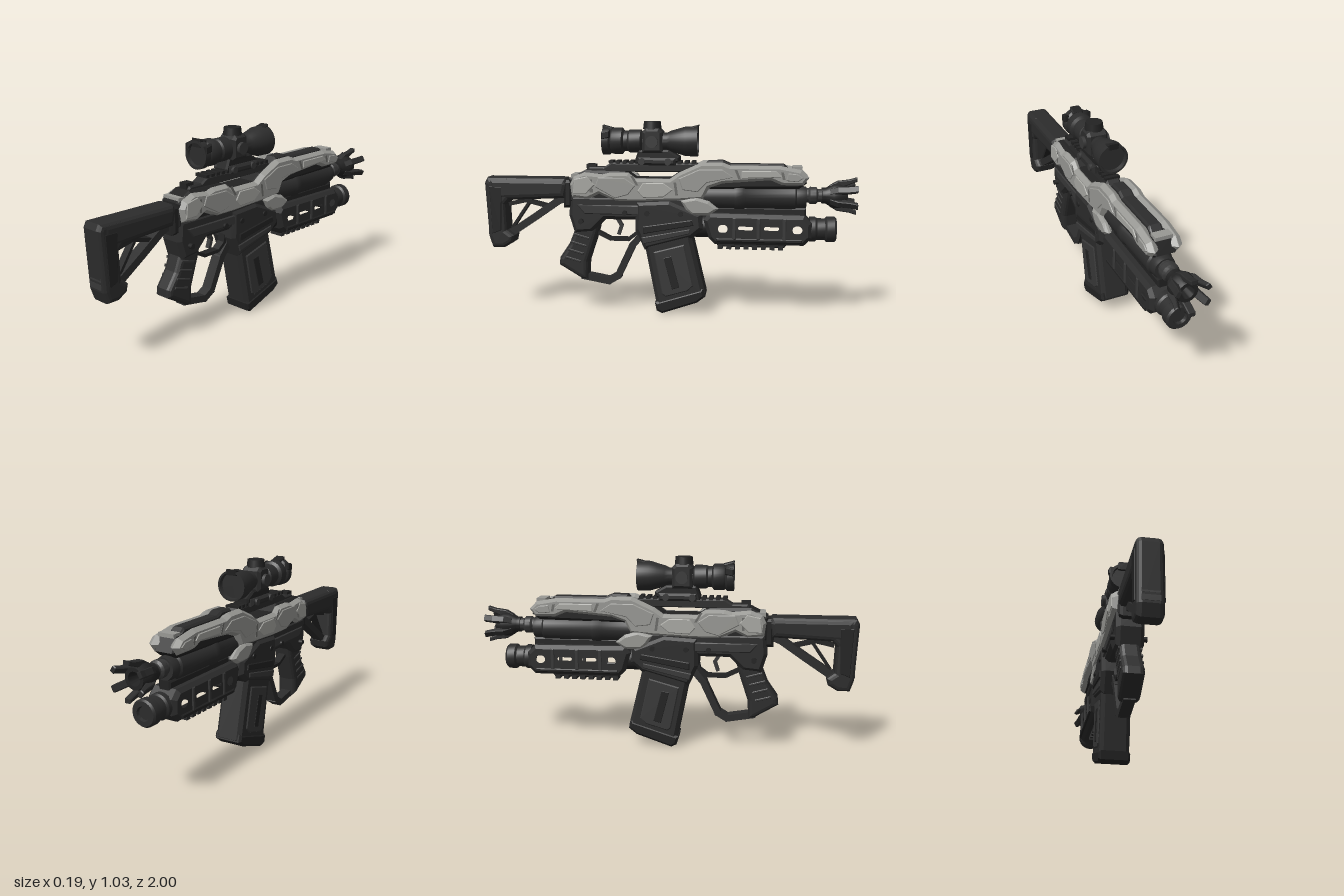
import * as THREE from 'three';
import { toCreasedNormals } from 'three/addons/utils/BufferGeometryUtils.js';

const mat = (name, color) => Object.assign(new THREE.MeshStandardMaterial({ color }), { name });

export function createModel() {
  const root = new THREE.Group();
  const dark = mat('dark polymer', 0x2c2c2c);
  const black = mat('black metal', 0x222222);
  const steel = mat('worn steel', 0x383838);
  const grey = mat('grey armour', 0x989894);
  const pale = mat('pale armour', 0xa8a8a3);
  const shade = mat('dark armour', 0x6c6c69);

  const add = (name, geo, m) => {
    const mesh = new THREE.Mesh(geo, m);
    mesh.name = name;
    root.add(mesh);
    return mesh;
  };
  // Side profile of [z, y] points, extruded across x from x0 to x1 with bevelled edges
  const trace = (path, pts) => {
    pts.forEach(([z, y], i) => (i ? path.lineTo(-z, y) : path.moveTo(-z, y)));
    path.closePath();
    return path;
  };
  const slab = (name, pts, x0, x1, m, bevel = 0.012, holes = [], thick = bevel) => {
    const shape = trace(new THREE.Shape(), pts);
    holes.forEach(h => shape.holes.push(trace(new THREE.Path(), h)));
    const geo = new THREE.ExtrudeGeometry(shape, {
      depth: x1 - x0 - 2 * thick, bevelEnabled: bevel > 0, bevelSize: bevel,
      bevelThickness: thick, bevelOffset: -bevel, bevelSegments: bevel > 0.02 ? 3 : 1,
    });
    geo.translate(0, 0, x0 + thick).rotateY(Math.PI / 2);
    return add(name, geo, m);
  };
  const wide = (name, pts, w, m, bevel, holes, thick) => slab(name, pts, -w / 2, w / 2, m, bevel, holes, thick);
  const sides = (name, pts, x0, x1, m, bevel, holes, thick) => {
    slab(name + 'Left', pts, x0, x1, m, bevel, holes, thick);
    slab(name + 'Right', pts, -x1, -x0, m, bevel, holes, thick);
  };
  const rect = (z0, z1, y0, y1) => [[z0, y0], [z1, y0], [z1, y1], [z0, y1]];
  // Round part along z from [radius, z] points with z rising
  const turned = (name, y, pts, m, seg = 28) => {
    const lathe = new THREE.LatheGeometry(pts.map(p => new THREE.Vector2(p[0], p[1])), seg);
    return add(name, toCreasedNormals(lathe.rotateX(Math.PI / 2).translate(0, y, 0), 0.6), m);
  };
  const box = (name, w, h, d, x, y, z, m) => add(name, new THREE.BoxGeometry(w, h, d).translate(x, y, z), m);
  // Straight strut between two [z, y] points
  const bar = (name, a, b, w, t, m) => {
    const dz = b[0] - a[0], dy = b[1] - a[1];
    const mesh = add(name, new THREE.BoxGeometry(w, t, Math.hypot(dz, dy) + t * 0.6), m);
    mesh.position.set(0, (a[1] + b[1]) / 2, (a[0] + b[0]) / 2);
    mesh.rotation.x = -Math.atan2(dy, dz);
  };
  const chain = (name, pts, w, t, m) => pts.slice(1).forEach((p, i) => bar(name, pts[i], p, w, t, m));
  const oval = (z, y, halfLen, r) => Array.from({ length: 16 }, (_, i) => {
    const a = (i / 16) * Math.PI * 2 + Math.PI / 16;
    return [z + Math.cos(a) * r + Math.sign(Math.cos(a)) * halfLen, y + Math.sin(a) * r];
  });

  // Stock: cheek piece, butt, pad ridges and open bracing
  wide('cheekPiece', [[0.98, 0.73], [0.55, 0.73], [0.53, 0.7], [0.55, 0.62], [0.98, 0.6]], 0.135, dark, 0.03);
  wide('butt', [[1, 0.7], [0.985, 0.73], [0.87, 0.73], [0.83, 0.68], [0.85, 0.62], [0.885, 0.58], [0.88, 0.44],
    [0.84, 0.41], [0.85, 0.37], [0.9, 0.34], [0.965, 0.34], [0.985, 0.4]], 0.13, dark, 0.025);
  for (let i = 0; i < 4; i++) box('padRidge', 0.085, 0.028, 0.02, 0, 0.545 - i * 0.04, 0.978, steel);
  sides('buttPanel', [[0.97, 0.68], [0.9, 0.68], [0.91, 0.44], [0.96, 0.42]], 0.062, 0.069, black, 0.003);
  chain('stockBrace', [[0.88, 0.41], [0.73, 0.51], [0.6, 0.6], [0.55, 0.62]], 0.06, 0.04, dark);
  chain('stockBrace', [[0.87, 0.58], [0.78, 0.6], [0.66, 0.57]], 0.045, 0.02, black);
  bar('stockBrace', [0.86, 0.45], [0.75, 0.61], 0.04, 0.015, black);
  turned('bufferTube', 0.665, [[0, 0.48], [0.055, 0.48], [0.055, 0.6], [0, 0.6]], black);
  wide('stockCollar', rect(0.56, 0.51, 0.57, 0.72), 0.12, black, 0.015);

  // Receiver core with a lowered centre beneath the raised rail
  wide('receiverCore', [[0.53, 0.6], [0.53, 0.73], [0.44, 0.775], [0.22, 0.77], [0.17, 0.735], [-0.02, 0.735],
    [-0.07, 0.77], [-0.2, 0.79], [-0.7, 0.79], [-0.74, 0.72], [-0.7, 0.69], [-0.22, 0.68], [-0.2, 0.57], [0.1, 0.57]], 0.125, black, 0.015);
  wide('lowerReceiver', [[0.52, 0.64], [-0.12, 0.64], [-0.2, 0.55], [-0.12, 0.45], [0.08, 0.42], [0.15, 0.51],
    [0.33, 0.51], [0.4, 0.44], [0.5, 0.43], [0.53, 0.53]], 0.14, dark, 0.02);
  sides('receiverPanel', [[0.48, 0.59], [0.14, 0.59], [0.1, 0.54], [0.44, 0.54]], 0.068, 0.08, steel, 0.006);
  wide('magazineWell', [[0.16, 0.61], [-0.02, 0.62], [-0.19, 0.55], [-0.2, 0.47], [-0.14, 0.42], [0.115, 0.35], [0.165, 0.46]], 0.172, dark, 0.02);
  sides('wellRib', [[0.12, 0.48], [-0.14, 0.52], [-0.15, 0.49], [0.12, 0.44]], 0.082, 0.092, black, 0.004);
  sides('wellRib', [[0.13, 0.42], [-0.13, 0.47], [-0.13, 0.445], [0.12, 0.385]], 0.082, 0.092, steel, 0.004);
  for (const [z, y] of [[0.46, 0.5], [0.22, 0.55], [0.1, 0.55], [-0.08, 0.55]])
    add('pin', new THREE.CylinderGeometry(0.014, 0.014, 0.185, 12).rotateZ(Math.PI / 2).translate(0, y, z), black);

  // Grey side armour, with raised plates and dark seams
  sides('sideArmour', [[0.52, 0.7], [0.5, 0.74], [0.44, 0.765], [0.34, 0.755], [0.3, 0.765], [0.2, 0.765], [0.16, 0.735], [-0.02, 0.735],
    [-0.07, 0.77], [-0.19, 0.825], [-0.3, 0.825], [-0.34, 0.81], [-0.6, 0.81], [-0.71, 0.79], [-0.75, 0.75], [-0.72, 0.71], [-0.61, 0.71],
    [-0.55, 0.735], [-0.3, 0.715], [-0.23, 0.69], [-0.2, 0.63], [-0.08, 0.62], [0.14, 0.61], [0.27, 0.61], [0.36, 0.65], [0.42, 0.62], [0.51, 0.63]],
  0.035, 0.088, grey, 0.016, [], 0.025);
  sides('armourFlap', [[-0.08, 0.62], [-0.11, 0.57], [-0.14, 0.545], [-0.23, 0.545], [-0.28, 0.58], [-0.23, 0.62], [-0.16, 0.64]], 0.05, 0.09, grey, 0.014);
  const plates = [
    [[0.49, 0.73], [0.42, 0.745], [0.38, 0.7], [0.43, 0.65], [0.5, 0.65]],
    [[0.36, 0.74], [0.22, 0.74], [0.16, 0.7], [0.2, 0.65], [0.27, 0.63], [0.38, 0.69]],
    [[0.12, 0.715], [0.01, 0.715], [-0.04, 0.68], [0.01, 0.64], [0.12, 0.635], [0.15, 0.67]],
    [[-0.07, 0.74], [-0.18, 0.79], [-0.3, 0.79], [-0.36, 0.75], [-0.22, 0.72], [-0.17, 0.67], [-0.09, 0.68]],
    [[-0.4, 0.785], [-0.58, 0.785], [-0.61, 0.755], [-0.55, 0.75], [-0.4, 0.745]],
    [[-0.64, 0.775], [-0.69, 0.77], [-0.72, 0.75], [-0.69, 0.73], [-0.63, 0.735]],
  ];
  plates.forEach((p, i) => sides('armourPlate', p, 0.083, 0.092, i % 2 ? grey : pale, 0.004));
  [[0.4, 0.73, 0.4, 0.66], [0.18, 0.75, 0.15, 0.7], [-0.05, 0.72, -0.06, 0.65], [-0.37, 0.79, -0.39, 0.74], [-0.61, 0.78, -0.62, 0.74]].forEach(([a, b, c, d]) =>
    sides('armourSeam', [[a + 0.007, b], [a - 0.007, b], [c - 0.007, d], [c + 0.007, d]], 0.086, 0.0895, shade, 0));
  box('rearArmourBridge', 0.11, 0.035, 0.06, 0, 0.735, 0.485, grey);
  box('frontArmourBridge', 0.09, 0.02, 0.05, 0, 0.795, -0.69, grey);

  // Top rail and forward spine
  wide('topRail', [[0.44, 0.765], [0.42, 0.79], [0.34, 0.79], [0.3, 0.815], [-0.16, 0.815], [-0.2, 0.77]], 0.075, dark, 0.008);
  for (let i = 0; i < 13; i++) box('railTooth', 0.08, 0.016, 0.022, 0, 0.818, 0.3 - i * 0.037, black);
  wide('spine', [[-0.18, 0.78], [-0.22, 0.83], [-0.3, 0.832], [-0.34, 0.815], [-0.62, 0.815], [-0.66, 0.78]], 0.07, dark, 0.01);
  box('rearSight', 0.05, 0.03, 0.05, 0, 0.79, 0.41, black);

  // Barrel, shroud and flared muzzle
  turned('barrelShroud', 0.64, [[0, -0.74], [0.055, -0.74], [0.06, -0.72], [0.06, -0.69], [0.068, -0.68], [0.068, -0.42],
    [0.074, -0.41], [0.074, -0.37], [0.068, -0.36], [0.068, -0.2], [0, -0.2]], dark);
  turned('barrel', 0.65, [[0, -0.86], [0.034, -0.86], [0.034, -0.8], [0.046, -0.79], [0.046, -0.76], [0.038, -0.75], [0.038, -0.7], [0, -0.7]], steel);
  turned('muzzle', 0.65, [[0.02, -0.88], [0.034, -0.95], [0.052, -0.95], [0.066, -0.91], [0.066, -0.88], [0.042, -0.84], [0.042, -0.82], [0, -0.82]], black);
  for (let i = 0; i < 6; i++) {
    const prong = slab('muzzleProng', [[-0.86, 0.035], [-0.86, 0.055], [-0.9, 0.078], [-0.96, 0.086], [-1, 0.098], [-1, 0.077], [-0.93, 0.05]], -0.018, 0.018, dark, 0.004);
    prong.position.y = 0.65;
    prong.rotation.z = (i * Math.PI) / 3;
  }

  // Lower handguard pierced through, with ribs and launcher tube
  wide('handguard', [[-0.2, 0.52], [-0.23, 0.555], [-0.73, 0.55], [-0.77, 0.51], [-0.77, 0.43], [-0.73, 0.39], [-0.26, 0.39], [-0.23, 0.42]], 0.165, dark, 0.02,
    [oval(-0.305, 0.475, 0.004, 0.042), oval(-0.425, 0.48, 0.03, 0.03), oval(-0.56, 0.48, 0.03, 0.03), oval(-0.695, 0.475, 0.004, 0.042)]);
  [-0.365, -0.4925, -0.627].forEach(z => sides('handguardClip', rect(z + 0.01, z - 0.01, 0.42, 0.535), 0.08, 0.09, steel, 0.004));
  sides('handguardRail', rect(-0.27, -0.72, 0.405, 0.425), 0.076, 0.09, black, 0.005);
  wide('lowerRail', [[-0.26, 0.4], [-0.65, 0.4], [-0.63, 0.37], [-0.28, 0.37]], 0.08, black, 0.006);
  for (let i = 0; i < 8; i++) box('lowerRailTooth', 0.085, 0.02, 0.026, 0, 0.368, -0.29 - i * 0.046, dark);
  wide('handguardBridge', rect(-0.24, -0.74, 0.54, 0.585), 0.07, black, 0.008);
  turned('launcherBreech', 0.475, [[0, -0.23], [0.06, -0.23], [0.06, -0.15], [0.05, -0.14], [0, -0.14]], black);
  turned('launcherMuzzle', 0.47, [[0, -0.885], [0.032, -0.885], [0.036, -0.9], [0.06, -0.9], [0.068, -0.89], [0.068, -0.85], [0.058, -0.84],
    [0.058, -0.8], [0.066, -0.79], [0.066, -0.76], [0, -0.76]], dark);

  // Pistol grip, trigger and guard loops
  wide('grip', [[0.52, 0.54], [0.36, 0.5], [0.38, 0.42], [0.43, 0.27], [0.435, 0.17], [0.47, 0.175], [0.595, 0.25], [0.59, 0.29], [0.535, 0.37], [0.495, 0.47]], 0.11, dark, 0.025);
  for (let i = 0; i < 4; i++) {
    const z = 0.455 + i * 0.016, y = 0.42 - i * 0.043;
    sides('gripRib', [[z + 0.05, y + 0.012], [z - 0.035, y - 0.012], [z - 0.031, y - 0.024], [z + 0.054, y]], 0.05, 0.059, steel, 0.003);
  }
  chain('handLoop', [[0.46, 0.185], [0.32, 0.16], [0.27, 0.19], [0.19, 0.36], [0.14, 0.42], [0.13, 0.5]], 0.06, 0.036, dark);
  chain('triggerGuard', [[0.38, 0.43], [0.31, 0.395], [0.21, 0.395], [0.165, 0.43], [0.15, 0.5]], 0.045, 0.018, black);
  chain('trigger', [[0.28, 0.52], [0.25, 0.47], [0.265, 0.425]], 0.025, 0.018, steel);

  // Slanted magazine
  wide('magazine', [[0.12, 0.4], [-0.13, 0.46], [-0.214, 0.11], [-0.18, 0.075], [0.01, 0.01], [0.045, 0.015]], 0.155, dark, 0.02);
  wide('magazineBase', [[0.06, 0.06], [-0.2, 0.142], [-0.214, 0.1], [-0.17, 0.065], [0.02, 0], [0.05, 0.015]], 0.165, black, 0.012);
  sides('magazinePanel', [[0.065, 0.34], [-0.1, 0.385], [-0.15, 0.16], [-0.12, 0.13], [0.0, 0.095], [0.02, 0.11]], 0.074, 0.085, steel, 0.006);
  sides('magazineGroove', [[0.01, 0.31], [-0.03, 0.32], [-0.075, 0.15], [-0.035, 0.138]], 0.083, 0.088, black, 0.002);

  // Scope: body, slanted shades, turrets and mount
  turned('scopeBody', 0.93, [[0, -0.145], [0.066, -0.145], [0.07, -0.165], [0.08, -0.165], [0.079, -0.1], [0.067, -0.06], [0.056, -0.02], [0.046, 0],
    [0.046, 0.13], [0.062, 0.14], [0.062, 0.2], [0.055, 0.21], [0.055, 0.23], [0.07, 0.24], [0.07, 0.29], [0.064, 0.3], [0.074, 0.31],
    [0.074, 0.345], [0.06, 0.345], [0.056, 0.33], [0, 0.33]], dark, 32);
  sides('scopeEar', [[0.345, 0.98], [0.3, 0.99], [0.3, 0.95], [0.345, 0.94]], 0.05, 0.077, black, 0.006);
  wide('frontShade', [[-0.17, 1.018], [-0.06, 0.99], [-0.06, 0.97], [-0.165, 0.985]], 0.06, black, 0.006);
  wide('rearShade', [[0.345, 1.015], [0.29, 1.0], [0.29, 0.97], [0.345, 0.97]], 0.06, black, 0.006);
  wide('turretBlock', [[0.13, 0.98], [0.11, 1.0], [0.04, 1.0], [0.02, 0.98], [0.02, 0.87], [0.13, 0.87]], 0.115, dark, 0.015);
  add('topTurret', new THREE.CylinderGeometry(0.045, 0.05, 0.04, 20).translate(0, 1.015, 0.08), black);
  add('sideTurret', new THREE.CylinderGeometry(0.032, 0.032, 0.15, 18).rotateZ(Math.PI / 2).translate(0, 0.93, 0.075), steel);
  wide('scopeMount', [[0.17, 0.83], [0.15, 0.885], [-0.01, 0.885], [-0.07, 0.85], [-0.07, 0.82], [0.17, 0.81]], 0.085, black, 0.01);
  wide('mountClamp', rect(0.15, -0.05, 0.805, 0.845), 0.125, dark, 0.012);
  [0.13, -0.01].forEach(z => add('clampKnob', new THREE.CylinderGeometry(0.018, 0.018, 0.14, 14).rotateZ(Math.PI / 2).translate(0, 0.825, z), steel));

  return root;
}
